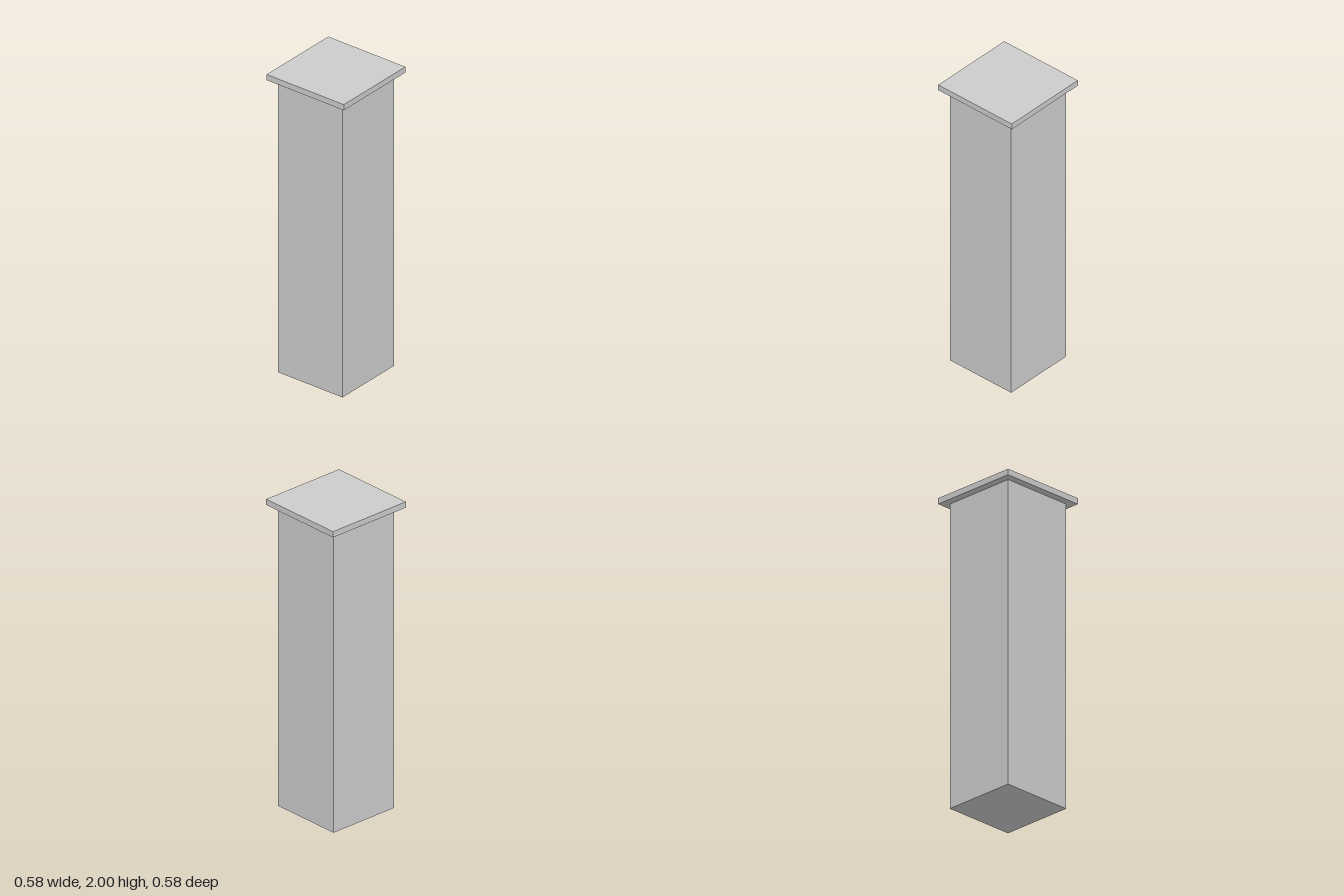
import * as THREE from 'three';

const material = new THREE.MeshStandardMaterial({ color: 0xcccccc, flatShading: true });

// Square block standing on the given height
function block(name, width, height, bottom) {
  const mesh = new THREE.Mesh(new THREE.BoxGeometry(width, height, width), material);
  mesh.name = name;
  mesh.position.y = bottom + height / 2;
  return mesh;
}

export function createModel() {
  const group = new THREE.Group();
  group.name = 'pillar';
  const capHeight = 0.038;
  const shaftHeight = 2 - capHeight;

  // Plain square shaft with a thin overhanging cap slab
  group.add(block('shaft', 0.481, shaftHeight, 0));
  group.add(block('cap', 0.577, capHeight, shaftHeight));
  return group;
}
